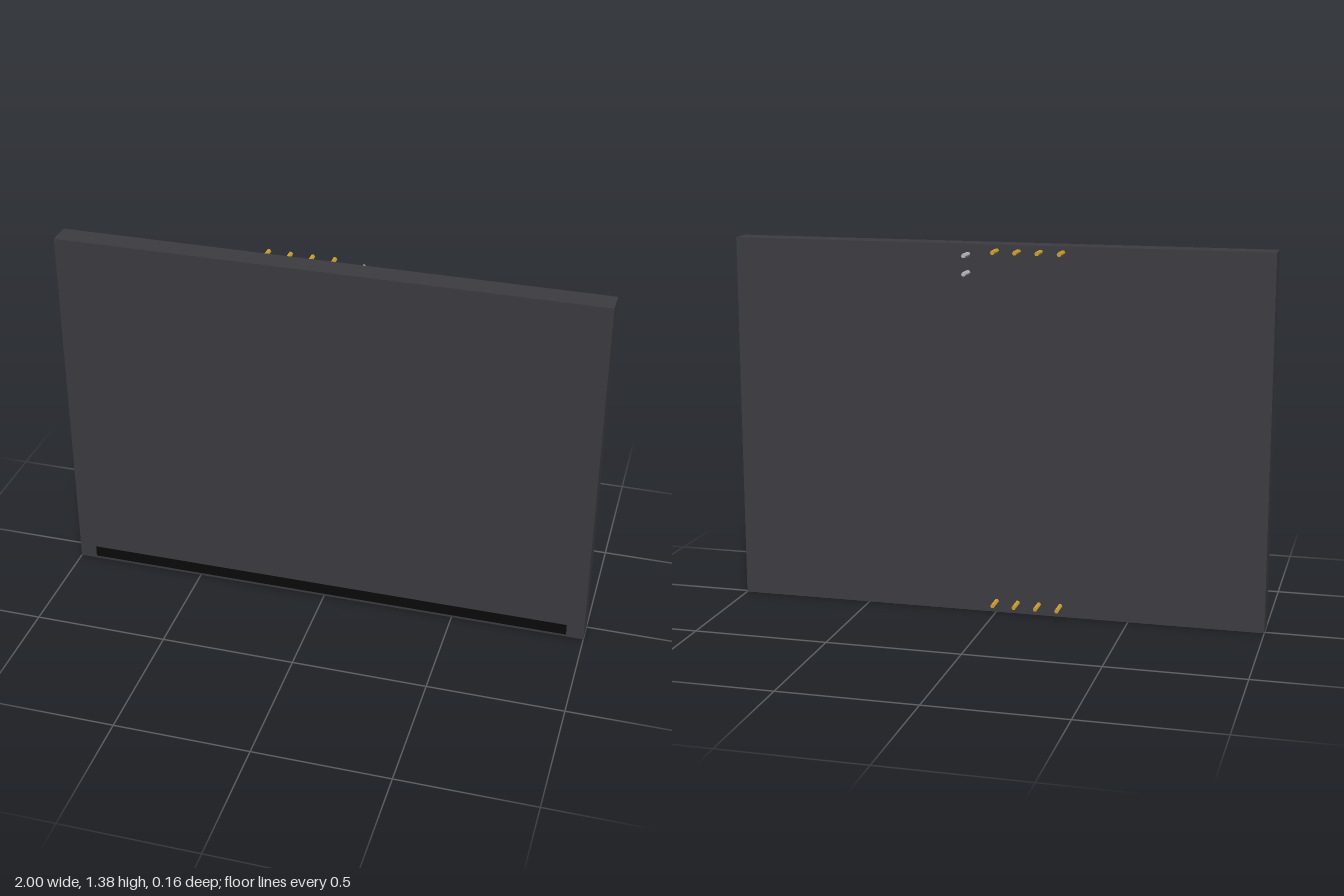
import * as THREE from 'three';

export function createModel() {
  const group = new THREE.Group();
  const mat = (name, color) => Object.assign(new THREE.MeshStandardMaterial({ color }), { name });
  const charcoal = mat('charcoal', 0x3c3b40);
  const black = mat('black', 0x0a0a0a);
  const gold = mat('gold', 0xd0a030);
  const silver = mat('silver', 0xb8b8b8);

  const add = (name, geometry, material, x, y, z) => {
    const mesh = new THREE.Mesh(geometry, material);
    mesh.name = name;
    mesh.position.set(x, y, z);
    group.add(mesh);
  };

  // Flat panel, with a dark strip along the lower front edge
  add('panel', new THREE.BoxGeometry(2, 1.378, 0.09), charcoal, 0, 0.689, 0.033);
  add('lowerStrip', new THREE.BoxGeometry(1.87, 0.043, 0.006), black, 0, 0.032, 0.077);

  // Thin faceted pins standing out of the back
  const pin = new THREE.CylinderGeometry(0.0085, 0.0085, 0.068, 6)
    .rotateX(Math.PI / 2).rotateZ(Math.PI / 6).toNonIndexed();
  pin.computeVertexNormals();
  const pinZ = -0.044;

  // Matching rows of gold pins at the top and bottom
  for (const x of [-0.245, -0.164, -0.083, -0.002]) {
    add('topPin', pin, gold, x, 1.356, pinZ);
    add('bottomPin', pin, gold, x, 0.042, pinZ);
  }

  // Pair of silver pins beside the top row
  for (const y of [1.341, 1.275]) add('silverPin', pin, silver, 0.105, y, pinZ);

  return group;
}
